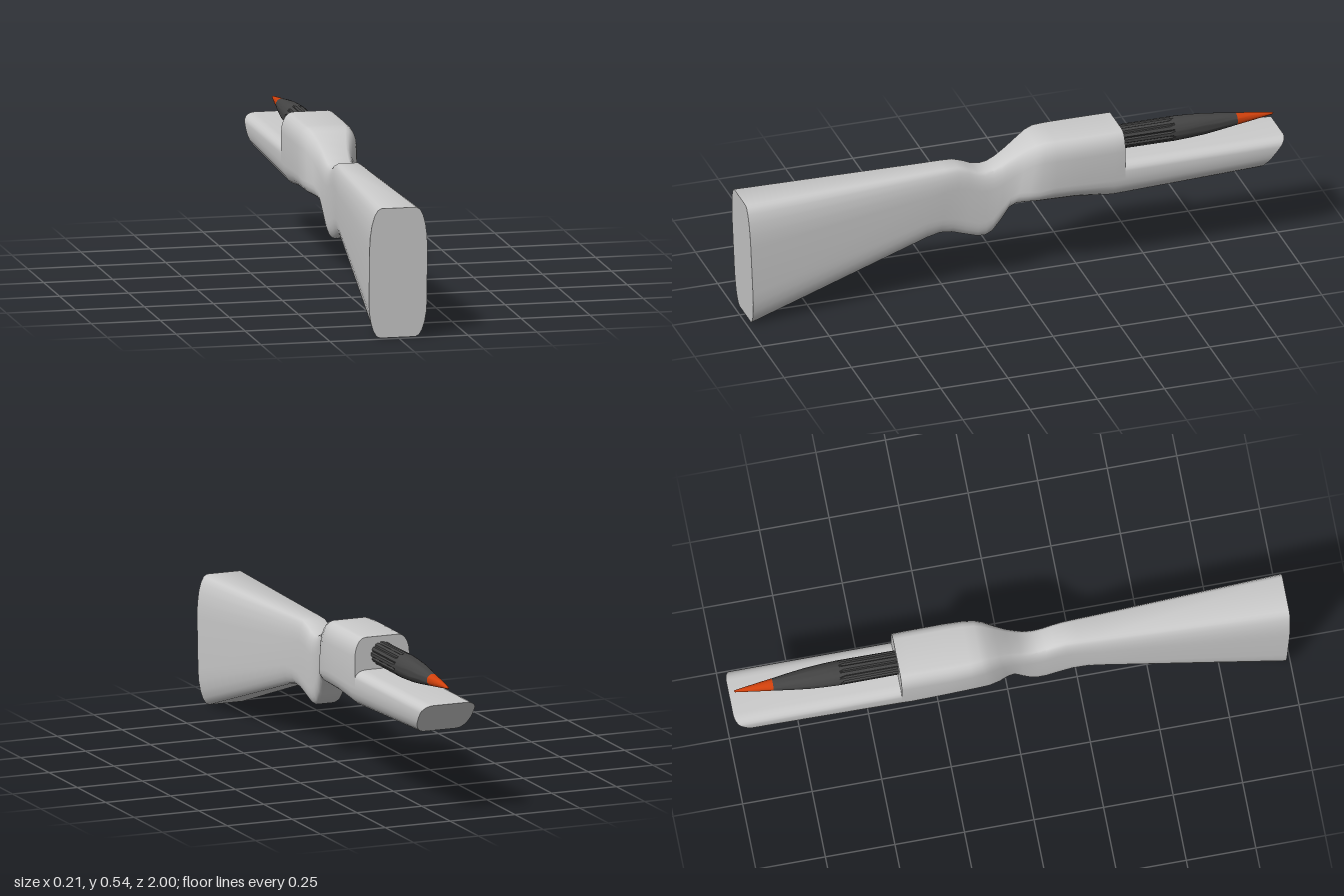
import * as THREE from 'three';
import { toCreasedNormals } from 'three/addons/utils/BufferGeometryUtils.js';

// Stock stations: [zTop, yTop, zBottom, yBottom, halfWidth, topRound, bottomRound]
const STATIONS = [
  [1, 0.47, 0.98, 0, 0.105, 0.15, 0.13],
  [0.32, 0.474, 0.32, 0.217, 0.064, 0.09, 0.07],
  [0.25, 0.475, 0.27, 0.228, 0.06, 0.08, 0.06],
  [0.2, 0.474, 0.225, 0.222, 0.057, 0.075, 0.06],
  [0.16, 0.461, 0.175, 0.205, 0.056, 0.07, 0.06],
  [0.13, 0.447, 0.13, 0.19, 0.056, 0.07, 0.06],
  [0.1, 0.442, 0.1, 0.189, 0.056, 0.07, 0.06],
  [0.07, 0.446, 0.075, 0.202, 0.057, 0.07, 0.06],
  [0.04, 0.459, 0.045, 0.24, 0.06, 0.07, 0.06],
  [0, 0.484, 0.015, 0.289, 0.065, 0.07, 0.05],
  [-0.04, 0.51, -0.01, 0.306, 0.076, 0.07, 0.05],
  [-0.08, 0.533, -0.04, 0.311, 0.091, 0.07, 0.05],
  [-0.11, 0.542, -0.08, 0.311, 0.1, 0.07, 0.05],
  [-0.15, 0.543, -0.14, 0.311, 0.105, 0.07, 0.06],
  [-0.22, 0.543, -0.22, 0.31, 0.107, 0.07, 0.06],
  [-0.36, 0.543, -0.36, 0.293, 0.106, 0.07, 0.07],
  [-0.4, 0.543, -0.4, 0.294, 0.105, 0.07, 0.07],
  [-0.4, 0.425, -0.4, 0.294, 0.105, 0.03, 0.07], // step down to the cradle
  [-0.85, 0.425, -0.85, 0.31, 0.105, 0.03, 0.065],
  [-1, 0.425, -0.91, 0.312, 0.105, 0.03, 0.065],
];
const CORNER = 6;

// Rounded cross-section, counter-clockwise seen from the front
function section([zt, yt, zb, yb, w, rt, rb]) {
  const rx = w * 0.39, ring = [];
  for (let q = 0; q < 4; q++) {
    const top = q < 2, right = q === 0 || q === 3;
    const ry = top ? rt : rb;
    const cx = (right ? 1 : -1) * (w - rx), cy = top ? yt - ry : yb + ry;
    for (let i = 0; i < CORNER; i++) {
      const a = (q + i / (CORNER - 1)) * Math.PI / 2;
      const y = cy + ry * Math.sin(a);
      ring.push([cx + rx * Math.cos(a), y, zb + (zt - zb) * (y - yb) / (yt - yb)]);
    }
  }
  return ring;
}

// Joins the rings into a closed skin with flat ends
function loft(rings) {
  const n = rings[0].length, index = [], last = (rings.length - 1) * n;
  for (let i = 0; i < rings.length - 1; i++) {
    for (let j = 0; j < n; j++) {
      const a = i * n + j, b = i * n + (j + 1) % n, c = b + n, d = a + n;
      index.push(a, d, c, a, c, b);
    }
  }
  for (let j = 1; j < n - 1; j++) {
    index.push(0, j, j + 1, last, last + j + 1, last + j);
  }
  const g = new THREE.BufferGeometry();
  g.setAttribute('position', new THREE.Float32BufferAttribute(rings.flat(2), 3));
  g.setIndex(index);
  return toCreasedNormals(g, 0.6);
}

// Turned part along -z from [distance, radius] pairs
function turned(name, profile, color, fluteEnd = 0) {
  const g = new THREE.LatheGeometry(profile.map(([d, r]) => new THREE.Vector2(r, d)), 48);
  const p = g.attributes.position;
  // Alternate columns sink in to form the tail grooves
  for (let i = 0; i < p.count; i++) {
    const column = Math.floor(i / profile.length);
    if (p.getY(i) < fluteEnd && column % 4 === 2) {
      p.setX(i, p.getX(i) * 0.88);
      p.setZ(i, p.getZ(i) * 0.88);
    }
  }
  g.rotateX(-Math.PI / 2);
  const mesh = new THREE.Mesh(toCreasedNormals(g, 0.4), new THREE.MeshStandardMaterial({ color }));
  mesh.name = name;
  return mesh;
}

export function createModel() {
  const model = new THREE.Group();
  model.name = 'launcher';

  const stock = new THREE.Mesh(loft(STATIONS.map(section)), new THREE.MeshStandardMaterial({ color: 0xcccccc }));
  stock.name = 'stock';
  model.add(stock);

  // Dart resting over the cradle
  const dart = new THREE.Group();
  dart.name = 'dart';
  dart.position.y = 0.479;
  dart.add(
    turned('dartBody', [[0.36, 0], [0.36, 0.043], [0.59, 0.044], [0.61, 0.044], [0.66, 0.042],
      [0.72, 0.038], [0.78, 0.031], [0.845, 0.022]], 0x444444, 0.6),
    turned('dartTip', [[0.845, 0.022], [0.9, 0.015], [0.95, 0.008], [0.98, 0.004], [0.985, 0]], 0xd1410c),
  );
  model.add(dart);
  return model;
}
